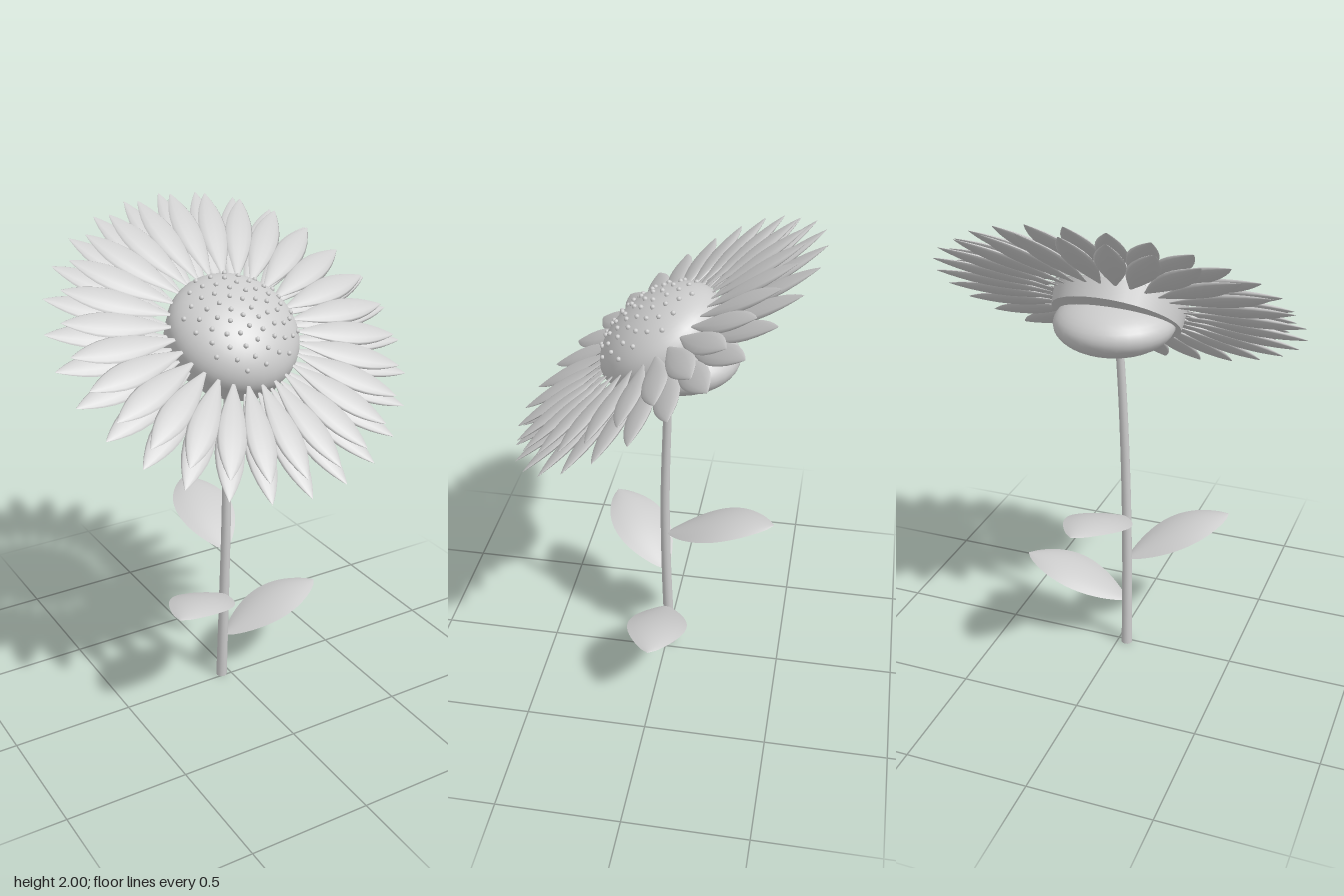
import * as THREE from 'three';

const grey = new THREE.MeshStandardMaterial({ color: 0xcccccc });
grey.name = 'light grey';
const greySheet = new THREE.MeshStandardMaterial({ color: 0xcccccc, side: THREE.DoubleSide });
greySheet.name = 'light grey sheet';

function add(parent, name, geometry, material = grey) {
  const mesh = new THREE.Mesh(geometry, material);
  mesh.name = name;
  parent.add(mesh);
  return mesh;
}

// Move every vertex of a geometry by a rule
function reshape(geometry, rule) {
  const p = geometry.attributes.position;
  for (let i = 0; i < p.count; i++) p.setXYZ(i, ...rule(p.getX(i), p.getY(i), p.getZ(i)));
  geometry.computeVertexNormals();
  return geometry;
}

// Thin lens-shaped petal pointing along -z, from radius r0 to r1
function petalGeometry(r0, r1, halfWidth) {
  return reshape(new THREE.SphereGeometry(1, 12, 14), (x, y, z) => {
    const t = (1 + y) / 2;
    const ring = Math.hypot(x, z) || 1;
    const w = halfWidth * Math.pow(Math.max(0, Math.sin(Math.PI * Math.pow(t, 1.25))), 0.88);
    return [(x / ring) * w, (z / ring) * w * 0.26, -(r0 + (r1 - r0) * t)];
  });
}

// Arched leaf growing along +x, its edges drooping slightly
function leafGeometry(length) {
  return reshape(new THREE.PlaneGeometry(1, 1, 20, 8), (x, y) => {
    const t = x + 0.5, s = -2 * y;
    const bulge = Math.pow(Math.max(0, Math.sin(Math.PI * Math.pow(t, 1.05))), 0.75);
    const arch = 0.143 * Math.sin(t * 1.85);
    return [length * t, arch - 0.026 * s * s * bulge, 0.125 * s * bulge];
  });
}

// Stem tube that tapers towards the top
function stemGeometry(curve) {
  const segments = 24, sides = 12;
  const tube = new THREE.TubeGeometry(curve, segments, 1, sides);
  const p = tube.attributes.position;
  const v = new THREE.Vector3();
  for (let i = 0; i < p.count; i++) {
    const t = Math.floor(i / (sides + 1)) / segments;
    const c = curve.getPointAt(t);
    v.fromBufferAttribute(p, i).sub(c).multiplyScalar(0.023 - 0.007 * t).add(c);
    p.setXYZ(i, v.x, Math.max(0, v.y), v.z);
  }
  return tube;
}

export function createModel() {
  const flower = new THREE.Group();
  flower.name = 'flower';

  // Gently bent stem with a closed foot
  const curve = new THREE.CatmullRomCurve3([
    new THREE.Vector3(-0.04, 0, -0.015),
    new THREE.Vector3(-0.035, 0.4, 0),
    new THREE.Vector3(-0.026, 0.8, 0.005),
    new THREE.Vector3(-0.014, 1.2, -0.006),
    new THREE.Vector3(0, 1.47, -0.015),
  ]);
  add(flower, 'stem', stemGeometry(curve));
  const foot = add(flower, 'stemFoot', new THREE.CircleGeometry(0.023, 12));
  foot.rotation.x = Math.PI / 2;
  foot.position.set(-0.04, 0.001, -0.015);

  // Three leaves spiralling up the stem
  const leaf = leafGeometry(0.46);
  [[-0.036, 0.208, 0], [-0.034, 0.415, 142], [-0.026, 0.622, 277]].forEach(([x, y, angle]) => {
    const mesh = add(flower, 'leaf', leaf, greySheet);
    mesh.position.set(x, y, 0);
    mesh.rotation.y = -THREE.MathUtils.degToRad(angle);
  });

  // Cup under the head
  const cup = add(flower, 'cup', new THREE.SphereGeometry(1, 32, 20));
  cup.scale.set(0.237, 0.112, 0.237);
  cup.position.set(0, 1.497, -0.053);

  // Head tilted towards the front
  const head = new THREE.Group();
  head.name = 'head';
  head.position.set(0, 1.55, 0);
  head.rotation.x = THREE.MathUtils.degToRad(37);
  flower.add(head);

  const disc = add(head, 'backDisc', new THREE.CylinderGeometry(0.262, 0.255, 0.081, 32));
  disc.position.y = -0.0145;

  const dome = add(head, 'dome', new THREE.SphereGeometry(1, 32, 14, 0, Math.PI * 2, 0, Math.PI / 2));
  dome.scale.set(0.265, 0.16, 0.265);
  dome.position.y = 0.026;

  // Two rings of petals, the front one turned slightly
  const count = 28;
  [['backPetal', 0.732, 0, 0], ['frontPetal', 0.678, 0.055, -0.02]].forEach(([name, radius, height, turn]) => {
    const petal = petalGeometry(0.235, radius, 0.058);
    for (let i = 0; i < count; i++) {
      const mesh = add(head, name, petal);
      mesh.position.y = height;
      mesh.rotation.y = (i / count) * Math.PI * 2 + turn;
    }
  });

  // Seeds in a spiral over the dome
  const seed = new THREE.SphereGeometry(0.01, 8, 6);
  const seeds = 64;
  for (let i = 0; i < seeds; i++) {
    const r = 0.233 * Math.sqrt((i + 0.5) / seeds);
    const a = i * 2.39996;
    const y = 0.028 + 0.16 * Math.sqrt(1 - (r / 0.265) ** 2);
    add(head, 'seed', seed).position.set(r * Math.cos(a), y, r * Math.sin(a));
  }

  return flower;
}
